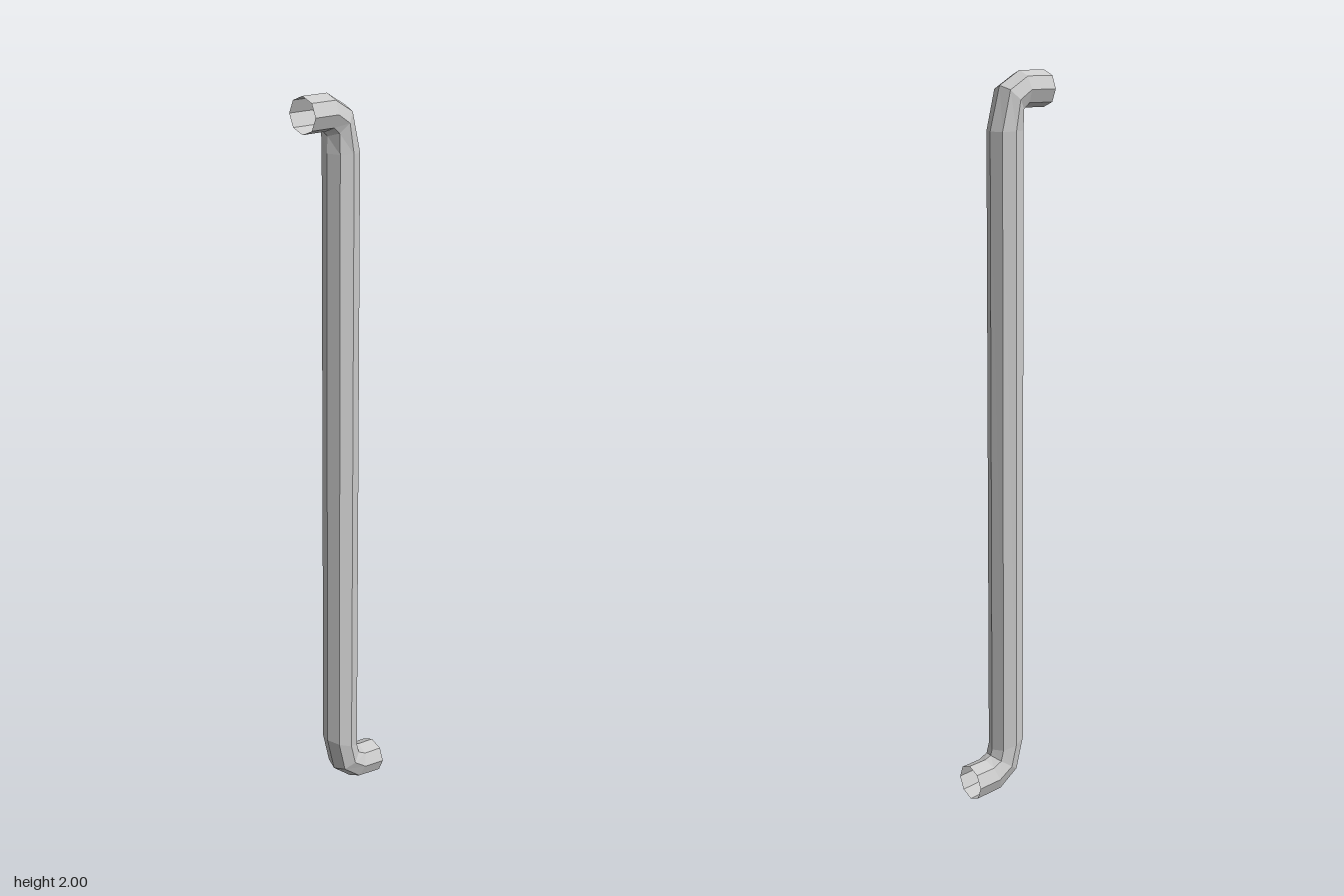
import * as THREE from 'three';

const SIDES = 8;
const RADIUS = 0.05;

// Cross-sections along the pipe, top to bottom: [x, y] of the upper/+x edge, then of the lower/-x edge
const SECTIONS = [
  [-0.125, 2.0, -0.125, 1.905],
  [-0.045, 2.0, -0.053, 1.905],
  [0.018, 1.963, -0.043, 1.893],
  [0.048, 1.848, -0.046, 1.85],
  [0.046, 0.13, -0.05, 0.165],
  [0.051, 0.113, -0.025, 0.062],
  [0.07, 0.105, 0.037, 0.012],
  [0.124, 0.1, 0.12, 0.0],
];

// Loft an open-ended eight-sided tube through the sections
function pipeGeometry() {
  const positions = [];
  const indices = [];
  SECTIONS.forEach(([ax, ay, bx, by], s) => {
    for (let i = 0; i < SIDES; i++) {
      const angle = (i / SIDES) * Math.PI * 2;
      const c = Math.cos(angle) / 2;
      positions.push(
        (ax + bx) / 2 + (ax - bx) * c,
        (ay + by) / 2 + (ay - by) * c,
        RADIUS * Math.sin(angle)
      );
      if (s < SECTIONS.length - 1) {
        const a = s * SIDES + i;
        const b = s * SIDES + ((i + 1) % SIDES);
        indices.push(a, b, a + SIDES, b, b + SIDES, a + SIDES);
      }
    }
  });
  const geometry = new THREE.BufferGeometry();
  geometry.setAttribute('position', new THREE.Float32BufferAttribute(positions, 3));
  geometry.setIndex(indices);
  geometry.computeVertexNormals();
  return geometry;
}

export function createModel() {
  const group = new THREE.Group();
  group.name = 'drainPipe';

  // Hollow pipe with a bend at each end
  const material = new THREE.MeshStandardMaterial({
    color: 0xcccccc, flatShading: true, side: THREE.DoubleSide,
  });
  const pipe = new THREE.Mesh(pipeGeometry(), material);
  pipe.name = 'pipe';
  group.add(pipe);
  return group;
}
